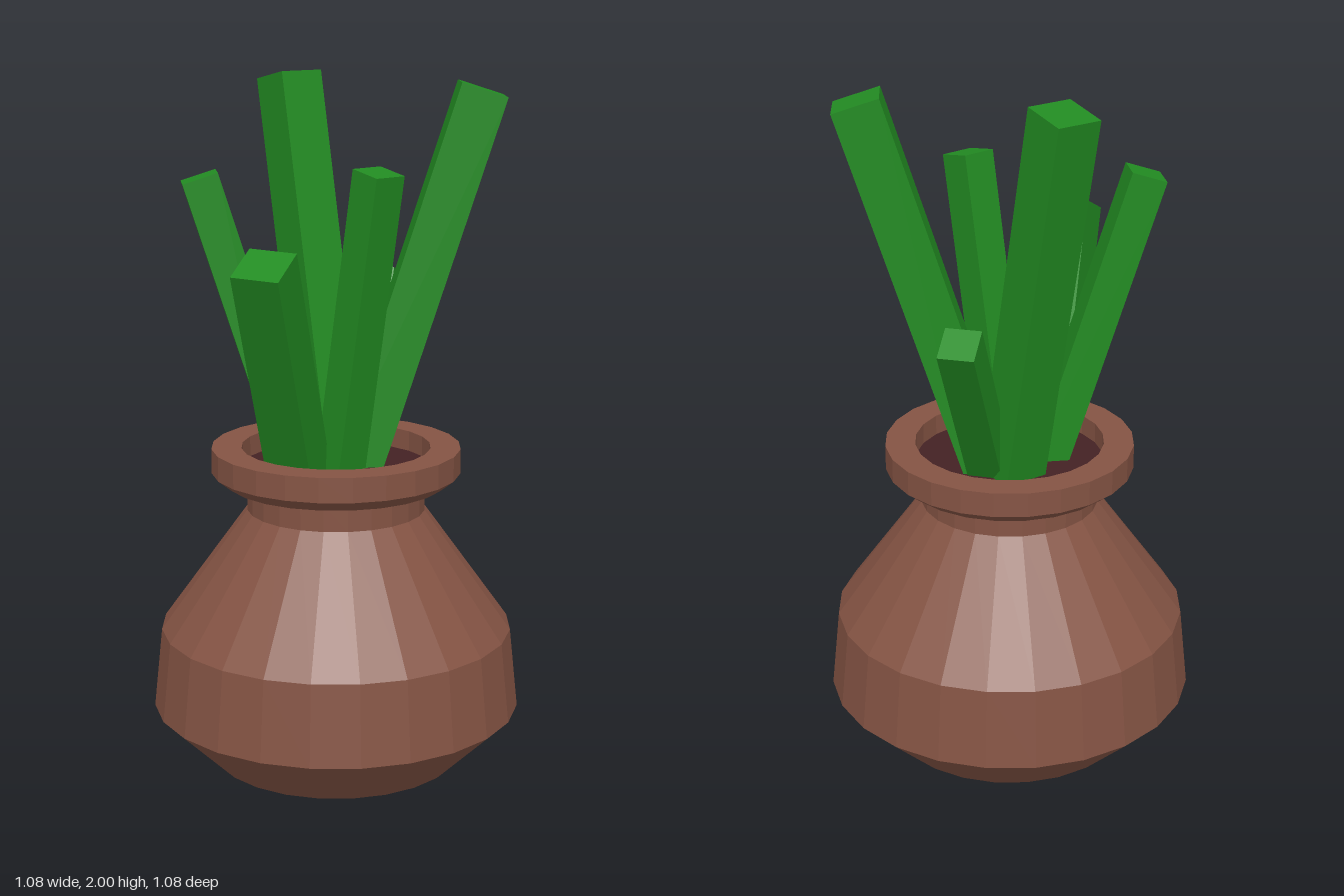
import * as THREE from 'three';

export function createModel() {
  const clay = new THREE.MeshStandardMaterial({ name: 'clay', color: 0x855444, flatShading: true });
  const earth = new THREE.MeshStandardMaterial({ name: 'darkSoil', color: 0x442224, flatShading: true });
  const green = new THREE.MeshStandardMaterial({ name: 'leafGreen', color: 0x228b22, flatShading: true });

  const model = new THREE.Group();
  model.name = 'pottedPlant';
  const SIDES = 24, SOIL_Y = 0.88, RIM_Y = 0.94;

  // Pot: base, belly, shoulder, neck, chamfered rim and inner lip
  const profile = [
    [0, 0], [0.37, 0], [0.54, 0.165], [0.515, 0.4], [0.26, 0.755], [0.26, 0.835],
    [0.32, 0.835], [0.362, 0.868], [0.362, RIM_Y], [0.275, RIM_Y], [0.275, SOIL_Y - 0.01],
  ].map(([r, y]) => new THREE.Vector2(r, y));
  const pot = new THREE.Mesh(new THREE.LatheGeometry(profile, SIDES), clay);
  pot.name = 'pot';
  model.add(pot);

  // Soil disc just below the rim
  const soil = new THREE.Mesh(new THREE.CircleGeometry(0.275, SIDES), earth);
  soil.name = 'soil';
  soil.rotation.x = -Math.PI / 2;
  soil.position.y = SOIL_Y;
  model.add(soil);

  // Stalks: square bars leaning from the soil to a tip centre [x, y, z];
  // root = [x, z] at rim height, twist = extra turn about the bar's own axis
  const stalks = [
    { tip: [0.415, 1.96, 0.005], root: [0.088, -0.028], size: 0.136 },
    { tip: [-0.1, 1.985, -0.3], root: [0, -0.107], size: 0.136 },
    { tip: [0.183, 1.385, -0.352], root: [0.08, -0.098], size: 0.102 },
    { tip: [-0.385, 1.725, 0.01], root: [-0.135, 0.01], size: 0.103 },
    { tip: [-0.24, 1.53, 0.37], root: [-0.128, 0.105], size: 0.137, twist: -0.11 },
    { tip: [0.092, 1.75, 0.193], root: [0.011, 0.067], size: 0.101 },
  ];
  const up = new THREE.Vector3(0, 1, 0);
  stalks.forEach(({ tip, root, size, twist = 0 }, i) => {
    const top = new THREE.Vector3(...tip);
    const base = new THREE.Vector3(root[0], RIM_Y, root[1]);
    // continue the bar a little under the soil
    base.lerp(top, -0.09 / (top.y - RIM_Y));
    const lean = top.clone().sub(base);
    const length = lean.length();
    const stalk = new THREE.Mesh(new THREE.BoxGeometry(size, length, size), green);
    stalk.name = `stalk${i + 1}`;
    const spin = new THREE.Quaternion().setFromAxisAngle(up, Math.atan2(-lean.z, lean.x) + twist);
    stalk.quaternion.setFromUnitVectors(up, lean.normalize()).multiply(spin);
    stalk.position.copy(top).add(base).multiplyScalar(0.5);
    model.add(stalk);
  });

  return model;
}
